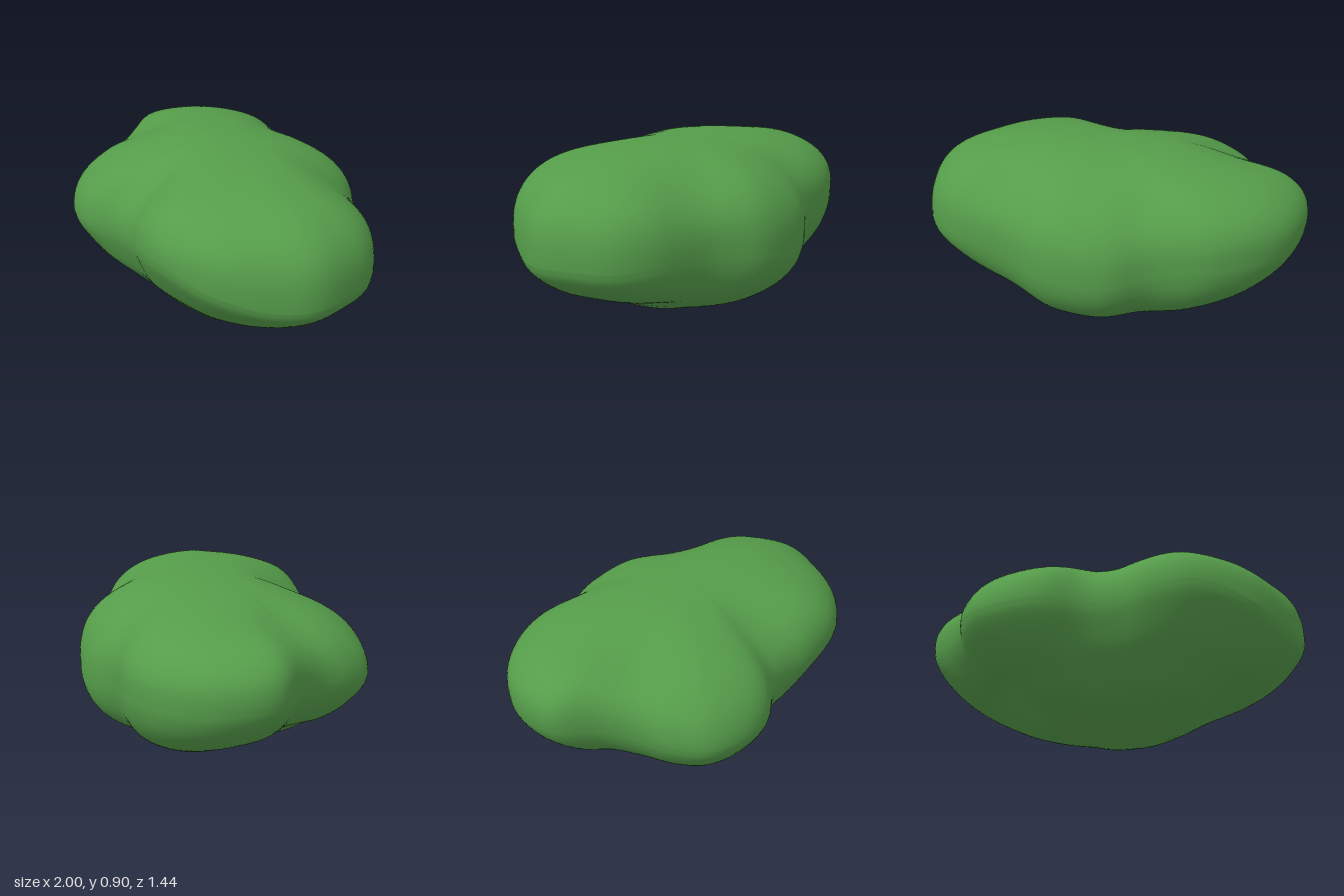
import * as THREE from 'three';

const SEGMENTS = 144, RINGS = 32, TOP = 0.9;
const { lerp, smoothstep } = THREE.MathUtils;

// Widest outline of the boulder-like bush: x, height of the widest point, z
const RIM = [
  [1.0, 0.45, 0.08], [0.985, 0.44, 0.3], [0.85, 0.44, 0.47], [0.63, 0.5, 0.64], [0.35, 0.57, 0.715],
  [0.12, 0.54, 0.67], [-0.02, 0.5, 0.61], [-0.18, 0.48, 0.585], [-0.38, 0.48, 0.63], [-0.55, 0.47, 0.6],
  [-0.73, 0.47, 0.48], [-0.8, 0.49, 0.32], [-0.83, 0.53, 0.13], [-0.89, 0.57, -0.02], [-1.0, 0.58, -0.22],
  [-0.92, 0.57, -0.47], [-0.74, 0.56, -0.64], [-0.48, 0.55, -0.72], [-0.18, 0.5, -0.68], [0.06, 0.43, -0.715],
  [0.35, 0.45, -0.63], [0.57, 0.47, -0.42], [0.86, 0.46, -0.23], [0.97, 0.45, -0.08],
];

// Underside profiles from rim to base: share of the radius, share of the depth
const underside = points => new THREE.CatmullRomCurve3(points.map(([s, d]) => new THREE.Vector3(s, d, 0)));
const SIDE = underside([[1, 0], [0.985, 0.12], [0.93, 0.27], [0.8, 0.47], [0.63, 0.6], [0.48, 0.78], [0.32, 0.94], [0, 1]]);
const FRONT = underside([[1, 0], [0.985, 0.1], [0.93, 0.25], [0.83, 0.46], [0.7, 0.64], [0.56, 0.81], [0.33, 0.95], [0, 1]]);
const BACK = underside([[1, 0], [0.995, 0.16], [0.96, 0.35], [0.88, 0.54], [0.76, 0.7], [0.56, 0.85], [0.3, 0.965], [0, 1]]);

// Shallow hollows between the lobes: x, z, radius, depth
const HOLLOWS = [
  [-0.68, 0.02, 0.22, 0.05], [-0.1, 0.52, 0.26, 0.07], [0.62, -0.34, 0.24, 0.07], [-0.18, -0.62, 0.16, 0.025],
];

const bump = (value, centre, width) => Math.exp(-(((value - centre) / width) ** 2));

function hollowDepth(x, z) {
  return HOLLOWS.reduce((sum, [hx, hz, r, d]) => sum + d * bump(Math.hypot(x - hx, z - hz), 0, r), 0);
}

// Point under the rim; lobes fade into a plain oval towards the base
function lowerPoint(p, a, t) {
  const { x: s, y: depth } = SIDE.getPoint(t)
    .lerp(FRONT.getPoint(t), smoothstep(Math.sin(a), 0.1, 0.8))
    .lerp(BACK.getPoint(t), smoothstep(-Math.sin(a), 0, 0.9));
  const fade = 0.8 * (1 - s * s);
  const oval = s / Math.hypot(Math.cos(a) / 0.97, Math.sin(a) / 0.7);
  return [
    lerp(p.x * s, Math.cos(a) * oval, fade),
    p.y * (1 - depth),
    lerp(p.z * s, Math.sin(a) * oval, fade),
  ];
}

// Point above the rim; the front right lobe slopes gently, the front left one is full
function upperPoint(p, a, t) {
  const n = 2.3 + 0.35 * Math.cos(a) ** 2 - 0.5 * bump(a, 2.5, 0.5) + 0.4 * bump(a, 0.45, 0.5);
  const s = Math.cos(t * Math.PI / 2) ** (2 / n), v = Math.sin(t * Math.PI / 2) ** (2 / n);
  const x = p.x * s, z = p.z * s;
  return [x, p.y + (TOP - p.y) * v - hollowDepth(x, z) * v, z];
}

// Closed surface lofted from the base, out to the rim, and in to the crown
function lobedBody() {
  const curve = new THREE.CatmullRomCurve3(RIM.map(p => new THREE.Vector3(...p)), true, 'centripetal');
  const rim = curve.getSpacedPoints(SEGMENTS).slice(0, SEGMENTS);
  const positions = [0, 0, 0], index = [];

  for (let i = 1; i < 2 * RINGS; i++) {
    const t = i / RINGS - 1;
    for (const p of rim) {
      const a = Math.atan2(p.z, p.x);
      positions.push(...(t < 0 ? lowerPoint(p, a, -t) : upperPoint(p, a, t)));
    }
  }
  positions.push(0, TOP - hollowDepth(0, 0), 0);

  const at = (ring, j) => 1 + ring * SEGMENTS + j % SEGMENTS;
  const last = 2 * RINGS - 2, crown = positions.length / 3 - 1;
  for (let j = 0; j < SEGMENTS; j++) {
    index.push(0, at(0, j), at(0, j + 1));
    for (let r = 0; r < last; r++) {
      index.push(at(r, j), at(r + 1, j), at(r, j + 1), at(r, j + 1), at(r + 1, j), at(r + 1, j + 1));
    }
    index.push(at(last, j), crown, at(last, j + 1));
  }

  const geometry = new THREE.BufferGeometry();
  geometry.setAttribute('position', new THREE.Float32BufferAttribute(positions, 3));
  geometry.setIndex(index);
  geometry.computeVertexNormals();
  return geometry;
}

export function createModel() {
  const group = new THREE.Group();
  group.name = 'bush';
  const leafGreen = new THREE.MeshStandardMaterial({ color: 0x559c4a });
  leafGreen.name = 'leaf green';
  const body = new THREE.Mesh(lobedBody(), leafGreen);
  body.name = 'foliage';
  group.add(body);
  return group;
}
